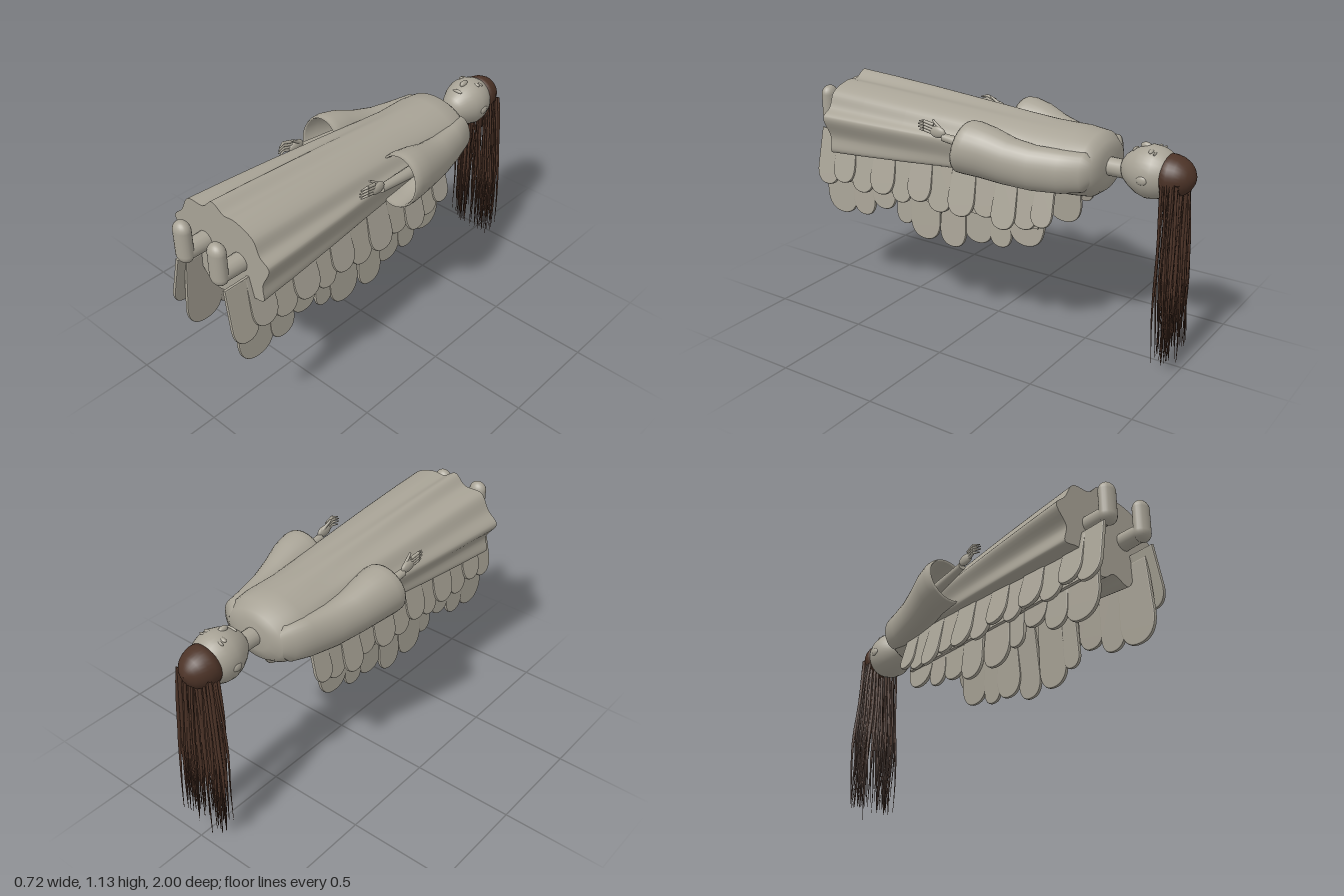
import * as THREE from 'three';
import { mergeGeometries } from 'three/addons/utils/BufferGeometryUtils.js';

const stone = new THREE.MeshStandardMaterial({ color: 0xa8a396, side: THREE.DoubleSide });
stone.name = 'stone grey';
const brown = new THREE.MeshStandardMaterial({ color: 0x4c3327 });
brown.name = 'hair brown';

let seed = 7;
const rand = () => (seed = (seed * 16807) % 2147483647) / 2147483647;

// skin over closed rings of points
function loft(rings) {
  const n = rings[0].length, idx = [];
  for (let i = 0; i < rings.length - 1; i++)
    for (let j = 0; j < n; j++) {
      const a = i * n + j, b = i * n + (j + 1) % n;
      idx.push(a, b, b + n, a, b + n, a + n);
    }
  const g = new THREE.BufferGeometry();
  g.setAttribute('position', new THREE.Float32BufferAttribute(rings.flat(2), 3));
  g.setIndex(idx);
  g.computeVertexNormals();
  return g;
}

// elliptical ring across z; shear leans its top back
function ring(z, cx, cy, rx, ry, shear = 0, n = 32) {
  return Array.from({ length: n }, (_, j) => {
    const a = j / n * Math.PI * 2, y = ry * Math.sin(a);
    return [cx + rx * Math.cos(a), cy + y, z - y * shear];
  });
}

function add(parent, name, geo, mat = stone) {
  const m = new THREE.Mesh(geo, mat);
  m.name = name;
  parent.add(m);
  return m;
}

function ball(parent, name, x, y, z, sx, sy, sz) {
  const m = add(parent, name, new THREE.SphereGeometry(1, 20, 14));
  m.position.set(x, y, z);
  m.scale.set(sx, sy, sz);
  return m;
}

// tapered rod between two points
function rod(parent, name, a, b, ra, rb) {
  const A = new THREE.Vector3(...a), B = new THREE.Vector3(...b), d = B.clone().sub(A);
  const m = add(parent, name, new THREE.CylinderGeometry(rb, ra, d.length(), 14));
  m.position.copy(A).addScaledVector(d, 0.5);
  m.quaternion.setFromUnitVectors(new THREE.Vector3(0, 1, 0), d.normalize());
  return m;
}

// rounded plume hanging from its origin, facing x
function plumeGeometry(w, len) {
  const s = new THREE.Shape(), h = w / 2, r = Math.min(len * 0.4, w * 0.6);
  s.moveTo(-h * 0.85, 0);
  s.lineTo(-h, -len + r);
  s.bezierCurveTo(-h, -len + r * 0.3, -h * 0.6, -len, 0, -len);
  s.bezierCurveTo(h * 0.6, -len, h, -len + r * 0.3, h, -len + r);
  s.lineTo(h * 0.85, 0);
  const g = new THREE.ExtrudeGeometry(s, {
    depth: 0.008, bevelEnabled: true, bevelSize: 0.006, bevelThickness: 0.005, bevelSegments: 2, curveSegments: 10,
  });
  return g.translate(0, 0, -0.004).rotateY(Math.PI / 2);
}

function buildDress(root) {
  const hem = [
    [-0.04, 1.13], [-0.1, 1.08], [-0.2, 1.07], [-0.25, 0.99], [-0.305, 0.93], [-0.25, 0.84], [-0.26, 0.76],
    [-0.18, 0.76], [-0.1, 0.685], [-0.03, 0.67], [0.03, 0.705], [0.12, 0.675], [0.17, 0.74], [0.24, 0.76],
    [0.24, 0.84], [0.285, 0.95], [0.235, 0.99], [0.2, 1.06], [0.09, 1.1], [0.03, 1.095],
  ];
  const pts = new THREE.CatmullRomCurve3(hem.map(p => new THREE.Vector3(p[0], p[1], 0)), true, 'centripetal')
    .getPoints(120).slice(0, 120);
  // z, half width, bottom, top, share of the pleated hem outline
  const stations = [
    [-0.597, 0.001, 0.9, 0.902, 0], [-0.595, 0.09, 0.83, 0.97, 0], [-0.58, 0.16, 0.78, 1.01, 0],
    [-0.54, 0.195, 0.75, 1.045, 0], [-0.45, 0.205, 0.74, 1.055, 0], [-0.3, 0.19, 0.75, 1.05, 0.1],
    [-0.15, 0.185, 0.765, 1.05, 0.22], [0, 0.185, 0.775, 1.05, 0.36], [0.2, 0.19, 0.775, 1.055, 0.5],
    [0.4, 0.195, 0.77, 1.06, 0.66], [0.65, 0.2, 0.76, 1.07, 0.85], [0.85, 0.2, 0.76, 1.08, 1],
  ];
  add(root, 'dress', loft(stations.map(([z, w, lo, hi, mix]) => pts.map(p => {
    const a = Math.atan2(p.y - 0.9, p.x);
    return [
      THREE.MathUtils.lerp(w * Math.cos(a), p.x, mix),
      THREE.MathUtils.lerp((lo + hi) / 2 + (hi - lo) / 2 * Math.sin(a), p.y, mix), z];
  }))));
  const cap = new THREE.ShapeGeometry(new THREE.Shape(pts.map(p => new THREE.Vector2(p.x, p.y))));
  add(root, 'hemCap', cap.translate(0, 0, 0.85));
}

function buildHead(root) {
  const head = new THREE.Group();
  head.name = 'head';
  root.add(head);
  rod(head, 'neck', [0, 0.895, -0.56], [0, 0.895, -0.72], 0.043, 0.043);
  add(head, 'skull', loft([
    [-0.92, 0.001], [-0.915, 0.06], [-0.89, 0.085], [-0.86, 0.102], [-0.83, 0.112], [-0.79, 0.115], [-0.75, 0.104],
    [-0.71, 0.083], [-0.68, 0.06], [-0.665, 0.04], [-0.658, 0.001],
  ].map(([z, r]) => ring(z, 0, 0.91, r, r * 1.05))));
  ball(head, 'nose', 0, 1.022, -0.765, 0.014, 0.016, 0.026);
  ball(head, 'mouth', 0, 0.999, -0.715, 0.028, 0.009, 0.008);
  for (const s of [-1, 1]) {
    ball(head, 'eye', s * 0.044, 1.014, -0.81, 0.02, 0.01, 0.011);
    ball(head, 'brow', s * 0.044, 1.01, -0.831, 0.026, 0.009, 0.006);
    ball(head, 'ear', s * 0.11, 0.9, -0.8, 0.01, 0.02, 0.025);
  }
}

function buildHair(root) {
  const hair = new THREE.Group();
  hair.name = 'hair';
  root.add(hair);
  add(hair, 'hairCap', loft([
    [-0.999, 0.002], [-0.994, 0.03], [-0.98, 0.055], [-0.96, 0.075], [-0.93, 0.091], [-0.9, 0.098],
    [-0.868, 0.098], [-0.866, 0.06],
  ].map(([z, r]) => ring(z, 0, 0.91, r * 0.97, r * 0.97))), brown);
  // tapered wavy strands falling in two bunches
  const strands = [];
  for (let i = 0; i < 84; i++) {
    const s = i % 2 ? 1 : -1, u = rand();
    const x0 = s * (0.012 + 0.075 * u), z0 = -0.88 - 0.075 * rand();
    const x1 = s * (0.025 + 0.095 * u) + (rand() - 0.5) * 0.02, z1 = z0 - 0.025 * rand() - 0.005;
    const end = i === 0 ? 0 : 0.05 + 0.22 * rand() * rand(), r = 0.005 + 0.004 * rand(), ph = rand() * 6;
    const rings = [];
    for (let k = 0; k <= 10; k++) {
      const t = k / 10, y = 0.9 + (end - 0.9) * t, q = Math.min(1, t * 1.8);
      const cx = x0 + (x1 - x0) * q + 0.004 * Math.sin(ph + t * 9);
      const cz = z0 + (z1 - z0) * t + 0.003 * Math.cos(ph + t * 8);
      const w = r * (1 - 0.85 * Math.max(0, t - 0.5) * 2);
      rings.push([0, 1, 2, 3, 4].map(j => {
        const a = j / 5 * Math.PI * 2;
        return [cx + w * Math.cos(a), y, cz + w * Math.sin(a)];
      }));
    }
    strands.push(loft(rings));
  }
  add(hair, 'strands', mergeGeometries(strands), brown);
}

function buildSide(root, s, label) {
  const side = new THREE.Group();
  side.name = label + 'Side';
  root.add(side);

  // hollow flared sleeve: outside, lip, then lining
  add(side, 'sleeve', loft([
    [-0.58, 0.13, 0.9, 0.03, 0.05], [-0.55, 0.155, 0.9, 0.06, 0.09], [-0.45, 0.175, 0.89, 0.067, 0.1],
    [-0.32, 0.2, 0.89, 0.078, 0.105], [-0.2, 0.22, 0.905, 0.092, 0.11], [-0.1, 0.235, 0.93, 0.108, 0.12],
    [-0.02, 0.24, 0.94, 0.119, 0.126], [0.015, 0.24, 0.94, 0.118, 0.125], [0.028, 0.24, 0.94, 0.112, 0.119],
    [0.015, 0.24, 0.94, 0.107, 0.114], [-0.05, 0.238, 0.935, 0.1, 0.108], [-0.16, 0.225, 0.915, 0.07, 0.08],
    [-0.24, 0.215, 0.905, 0.002, 0.002],
  ].map(([z, x, y, rx, ry]) => ring(z, s * x, y, rx, ry, z > -0.3 ? 0.18 : 0))));

  // forearm and hand
  rod(side, 'forearm', [s * 0.225, 0.92, -0.22], [s * 0.25, 0.965, 0.14], 0.034, 0.019);
  ball(side, 'palm', s * 0.253, 0.985, 0.17, 0.016, 0.028, 0.045);
  for (let i = 0; i < 4; i++) {
    const y = 0.975 + i * 0.014, mid = [s * 0.262, y + 0.012, 0.24];
    rod(side, 'finger', [s * 0.255, y, 0.19], mid, 0.008, 0.007);
    rod(side, 'fingertip', mid, [s * 0.252, y + 0.005, 0.285 - Math.abs(i - 1.5) * 0.008], 0.007, 0.003);
  }
  rod(side, 'thumb', [s * 0.25, 0.995, 0.15], [s * 0.24, 1.035, 0.205], 0.01, 0.005);

  // leg and upright foot
  rod(side, 'leg', [s * 0.108, 0.9, 0.8], [s * 0.108, 0.9, 0.965], 0.045, 0.042);
  const foot = add(side, 'foot', new THREE.CapsuleGeometry(0.045, 0.12, 8, 20));
  foot.position.set(s * 0.108, 0.955, 0.963);
  foot.scale.z = 0.8;

  // wing: backing sheet, short outer plumes over long inner plumes
  const wing = new THREE.Group();
  wing.name = label + 'Wing';
  side.add(wing);
  const plume = (name, z, w, bottom, x, top, tilt) => {
    const p = add(wing, name, plumeGeometry(w, (top - bottom) / Math.cos(tilt)));
    p.position.set(s * x, top, z);
    p.rotation.z = s * tilt;
  };
  const sheet = add(wing, 'wingSheet', new THREE.BoxGeometry(0.014, 0.25, 1.26));
  sheet.position.set(s * 0.168, 0.72, 0.29);
  sheet.rotation.z = s * 0.14;
  // z, width, bottom
  const long = [
    [0.85, 0.19, 0.42], [0.7, 0.13, 0.44], [0.57, 0.14, 0.5], [0.44, 0.09, 0.45], [0.31, 0.17, 0.4],
    [0.14, 0.14, 0.4], [0, 0.16, 0.45], [-0.13, 0.11, 0.46], [-0.27, 0.18, 0.5],
  ];
  long.forEach(([z, w, b], i) => plume('longPlume', z, w, b, 0.155, 0.8, 0.05 + (i % 3) * 0.014));
  const short = [
    [0.92, 0.13, 0.57], [0.81, 0.13, 0.6], [0.69, 0.13, 0.57], [0.56, 0.14, 0.59], [0.44, 0.11, 0.57],
    [0.33, 0.13, 0.6], [0.21, 0.13, 0.57], [0.08, 0.14, 0.58], [-0.05, 0.13, 0.6], [-0.16, 0.12, 0.57],
    [-0.27, 0.12, 0.59], [-0.36, 0.1, 0.62],
  ];
  short.forEach(([z, w, b], i) => plume('shortPlume', z, w, b, 0.15, 0.84, 0.2 + (i % 2) * 0.05));
}

export function createModel() {
  seed = 7;
  const root = new THREE.Group();
  root.name = 'floatingFigure';
  buildDress(root);
  buildHead(root);
  buildHair(root);
  buildSide(root, 1, 'left');
  buildSide(root, -1, 'right');
  return root;
}
